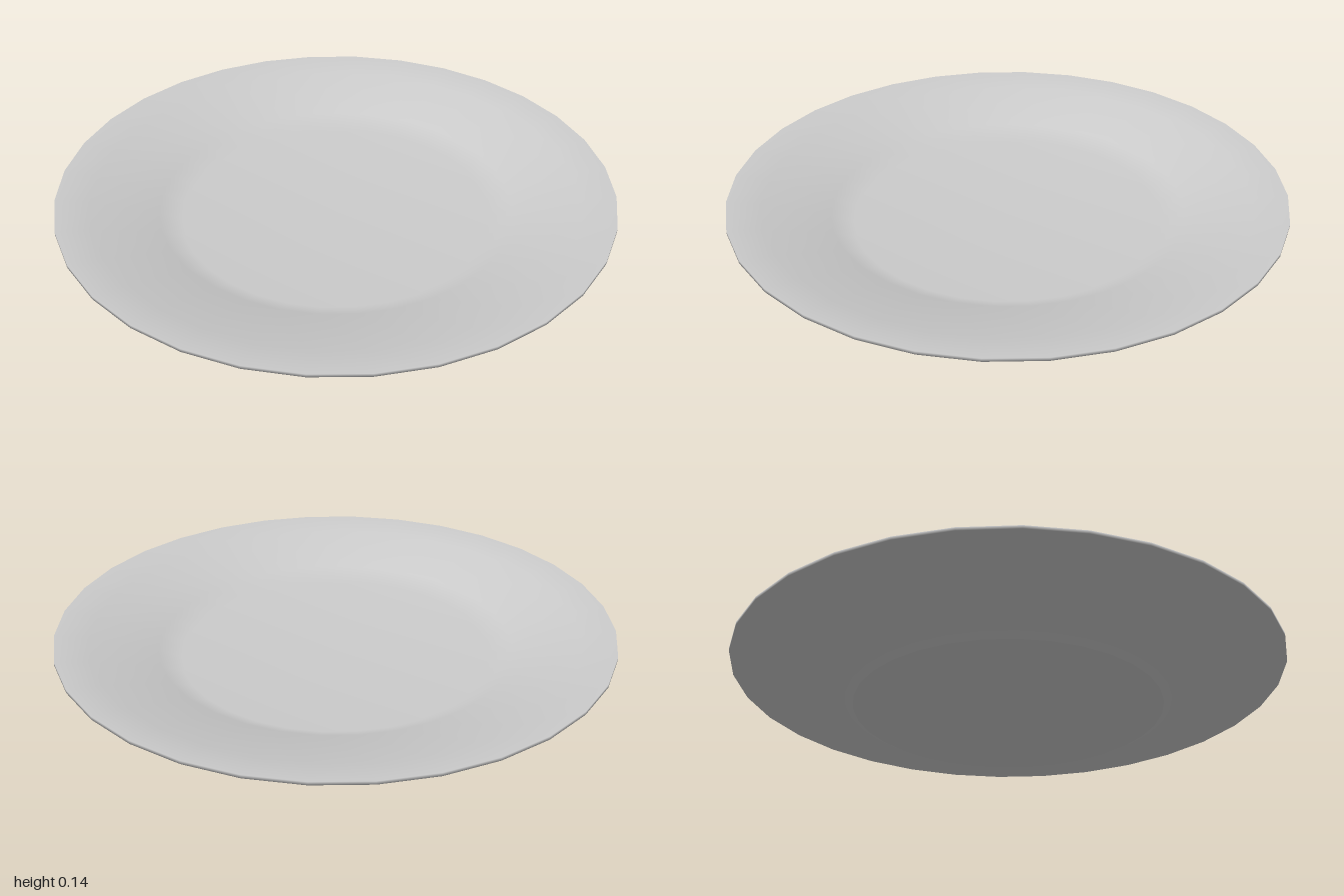
import * as THREE from 'three';

const SIDES = 32;
const STEP = (Math.PI * 2) / SIDES;
// Flats face the axes, so widen to make the flats one unit from the centre.
const WIDEN = 1 / Math.cos(STEP / 2);

const FOOT_RADIUS = 0.56;

// Radius and height, from the foot up the underside, over the lip and in to the floor.
const PROFILE = [
  [FOOT_RADIUS, 0],
  [0.64, 0.04],
  [1, 0.125],
  [1, 0.137],
  [0.88, 0.118],
  [0.64, 0.06],
  [0.56, 0.022],
  [0, 0.022],
];

function createLathe(name, points, material) {
  const profile = points.map(([r, y]) => new THREE.Vector2(r * WIDEN, y));
  const mesh = new THREE.Mesh(new THREE.LatheGeometry(profile, SIDES, STEP / 2), material);
  mesh.name = name;
  return mesh;
}

export function createModel() {
  const material = new THREE.MeshStandardMaterial({ color: 0xcccccc });
  const plate = new THREE.Group();
  plate.name = 'plate';

  // Smooth dish: underside, lip, sloping rim and floor
  plate.add(createLathe('dish', PROFILE, material));

  // Flat base, kept separate for a sharp edge at the foot
  plate.add(createLathe('base', [[0, 0], [FOOT_RADIUS, 0]], material));

  return plate;
}
